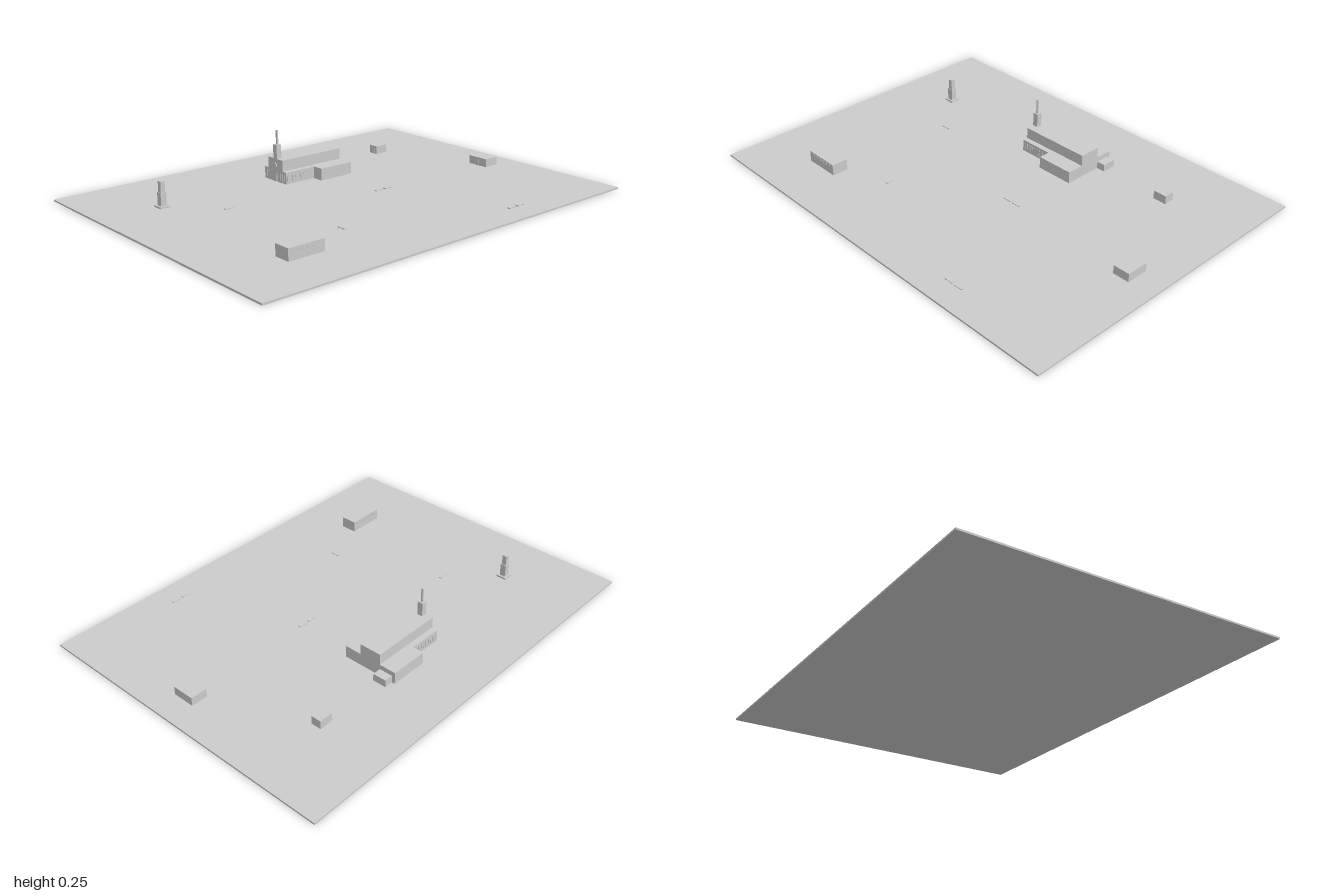
import * as THREE from 'three';

const GROUND = 0.008;

export function createModel() {
  const model = new THREE.Group();
  const mat = new THREE.MeshStandardMaterial({ color: 0xcccccc, flatShading: true });

  function add(parent, name, geo, x = 0, y = 0, z = 0, ry = 0) {
    const mesh = new THREE.Mesh(geo, mat);
    mesh.name = name;
    mesh.position.set(x, y, z);
    mesh.rotation.y = ry;
    parent.add(mesh);
    return mesh;
  }
  // Box given by its extents on each axis
  function block(parent, name, x0, x1, y0, y1, z0, z1) {
    return add(parent, name, new THREE.BoxGeometry(x1 - x0, y1 - y0, z1 - z0),
      (x0 + x1) / 2, (y0 + y1) / 2, (z0 + z1) / 2);
  }
  function group(name) {
    const g = new THREE.Group();
    g.name = name;
    model.add(g);
    return g;
  }
  // Round-headed panel standing on y = 0 and facing +z
  function archGeometry(w, h, depth = 0.002) {
    const s = new THREE.Shape();
    s.moveTo(-w / 2, 0);
    s.lineTo(w / 2, 0);
    s.lineTo(w / 2, h - w / 2);
    s.absarc(0, h - w / 2, w / 2, 0, Math.PI, false);
    s.closePath();
    return new THREE.ExtrudeGeometry(s, { depth, bevelEnabled: false, curveSegments: 8 });
  }
  function discGeometry(r, depth) {
    return new THREE.CylinderGeometry(r, r, depth, 16).rotateX(Math.PI / 2);
  }

  // Ground plate
  block(model, 'ground', -0.75, 0.75, 0, GROUND, -1, 1);

  // Church: aisles, high nave, transept and rear annex
  const church = group('church');
  const cx = -0.342;
  block(church, 'aisles', cx - 0.08, cx + 0.078, GROUND, 0.063, -0.06, 0.102);
  block(church, 'nave', cx - 0.052, cx + 0.052, GROUND, 0.115, -0.241, 0.103);
  block(church, 'transept', cx - 0.133, cx + 0.133, GROUND, 0.064, -0.241, -0.06);
  block(church, 'annex', -0.46, -0.395, GROUND, 0.042, -0.282, -0.241);

  // Bell tower and spire
  block(church, 'tower', cx - 0.013, cx + 0.013, GROUND, 0.18, 0.078, 0.104);
  block(church, 'spire', cx - 0.004, cx + 0.004, 0.18, 0.247, 0.087, 0.095);
  add(church, 'roseWindow', discGeometry(0.013, 0.006), cx, 0.083, 0.105);
  add(church, 'churchDoor', archGeometry(0.022, 0.036), cx, GROUND, 0.104);

  // Front and side windows
  const frontWindow = archGeometry(0.009, 0.033);
  const sideWindow = archGeometry(0.01, 0.03);
  for (const side of [-1, 1]) {
    for (let i = 0; i < 3; i++) {
      add(church, 'frontWindow', frontWindow, cx + side * (0.035 + i * 0.0145), 0.018, 0.102);
    }
    for (let i = 0; i < 8; i++) {
      const x = side > 0 ? cx + 0.078 : cx - 0.08;
      add(church, 'aisleWindow', sideWindow, x, 0.02, 0.092 - i * 0.0157, side * Math.PI / 2);
    }
  }

  // Monument on a plinth
  const monument = group('monument');
  const column = [['plinth', 0.024, 0, 0.016], ['shaft', 0.014, 0.016, 0.075], ['crown', 0.0105, 0.075, 0.123]];
  for (const [name, r, y0, y1] of column) {
    block(monument, name, -0.35 - r, -0.35 + r, y0, y1, 0.701 - r, 0.701 + r);
  }

  // Long hall with a row of round windows on each long side
  const hall = group('hall');
  block(hall, 'hallBody', 0.432, 0.509, GROUND, 0.06, 0.526, 0.7);
  const porthole = discGeometry(0.008, 0.003);
  for (const x of [0.432, 0.509]) {
    for (let i = 0; i < 6; i++) {
      add(hall, 'roundWindow', porthole, x, 0.047, 0.555 + i * 0.0235, Math.PI / 2);
    }
  }

  // Two small houses with doors
  const house = group('house');
  block(house, 'houseBody', 0.032, 0.137, GROUND, 0.047, -0.88, -0.802);
  block(house, 'houseDoor', 0.076, 0.092, GROUND, 0.035, -0.804, -0.8);
  const shed = group('shed');
  block(shed, 'shedBody', -0.437, -0.388, GROUND, 0.047, -0.638, -0.573);
  block(shed, 'shedDoor', -0.42, -0.404, GROUND, 0.035, -0.575, -0.571);

  // Benches: a slab on two legs
  function bench(x, z, turned) {
    const b = group('bench');
    b.position.set(x, GROUND, z);
    if (turned) b.rotation.y = Math.PI / 2;
    block(b, 'benchSeat', -0.007, 0.007, 0.003, 0.006, -0.021, 0.021);
    for (const s of [-1, 1]) {
      block(b, 'benchLeg', -0.006, 0.006, 0, 0.003, s * 0.016 - 0.003, s * 0.016 + 0.003);
    }
  }
  bench(-0.142, 0.505);
  bench(0.359, 0.31, true);
  for (const z of [-0.152, -0.206]) bench(0.079, z);
  for (const z of [-0.403, -0.458]) bench(0.631, z);

  return model;
}
